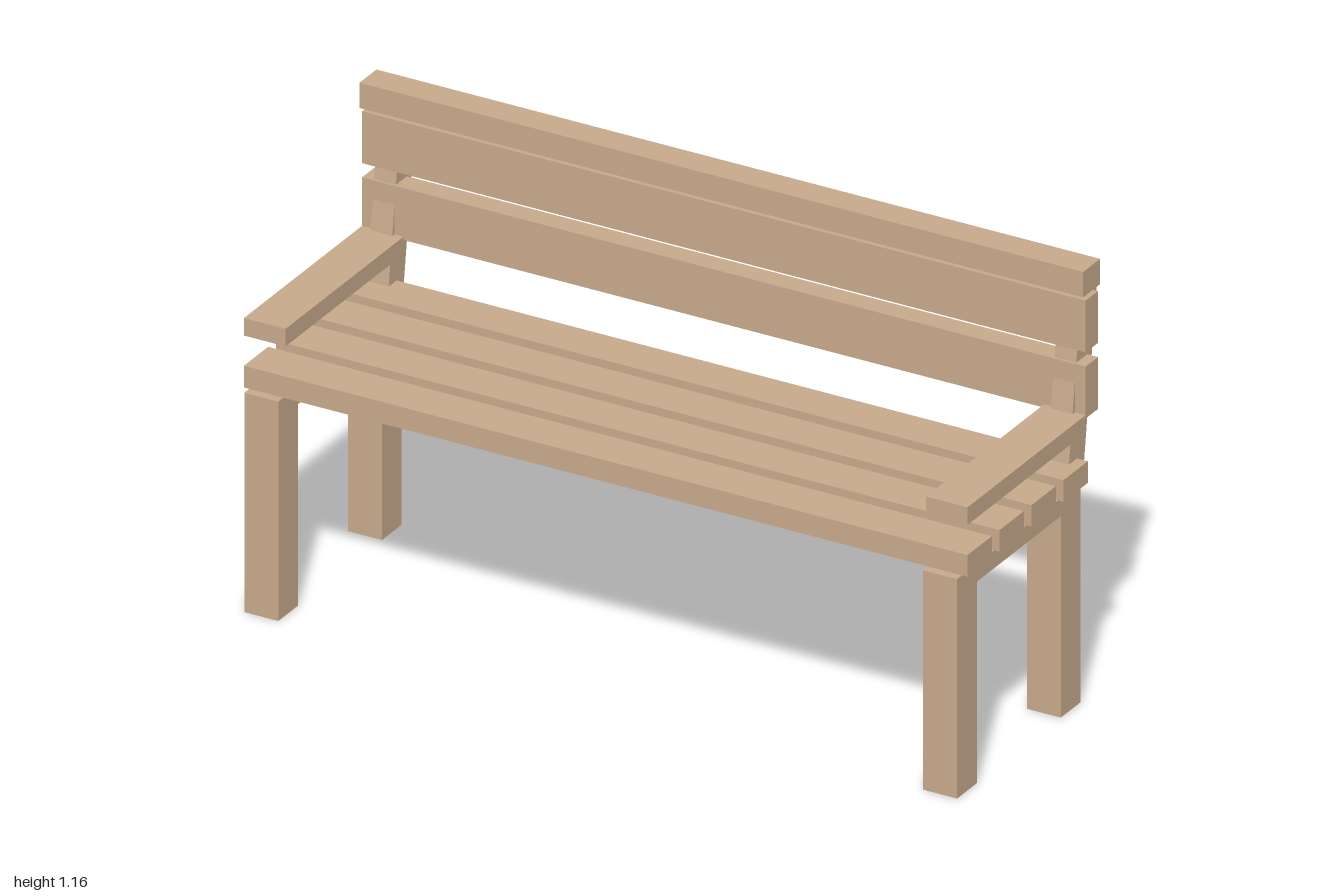
import * as THREE from 'three';

const wood = new THREE.MeshStandardMaterial({ color: 0xc8aa8c });
wood.name = 'wood';

// Box given by its extents on each axis
function board(name, [x0, x1], [y0, y1], [z0, z1]) {
  const mesh = new THREE.Mesh(new THREE.BoxGeometry(x1 - x0, y1 - y0, z1 - z0), wood);
  mesh.position.set((x0 + x1) / 2, (y0 + y1) / 2, (z0 + z1) / 2);
  mesh.name = name;
  return mesh;
}

// Leg frame: two legs joined by a rail, cut as one U-shaped profile
function legFrame(name, x) {
  const profile = [
    [0.35, 0], [0.35, 0.588], [-0.238, 0.588], [-0.238, 0],
    [-0.145, 0], [-0.145, 0.54], [0.256, 0.54], [0.256, 0],
  ].map(([z, y]) => new THREE.Vector2(-z, y));
  const width = 0.094;
  const geometry = new THREE.ExtrudeGeometry(new THREE.Shape(profile), { depth: width, bevelEnabled: false });
  geometry.translate(0, 0, -width / 2).rotateY(Math.PI / 2);
  const mesh = new THREE.Mesh(geometry, wood);
  mesh.position.x = x;
  mesh.name = name;
  return mesh;
}

export function createModel() {
  const bench = new THREE.Group();
  bench.name = 'bench';
  const full = [-1, 1];

  // Seat slats, front to back
  for (let i = 0; i < 4; i++) {
    const z = 0.268 - i * 0.1527;
    bench.add(board('seatSlat' + (i + 1), full, [0.588, 0.646], [z - 0.058, z + 0.058]));
  }

  // Backrest slats and top rail
  bench.add(board('lowerBackSlat', full, [0.765, 0.904], [-0.297, -0.238]));
  bench.add(board('upperBackSlat', full, [0.942, 1.081], [-0.297, -0.238]));
  bench.add(board('topRail', full, [1.095, 1.163], [-0.307, -0.226]));

  // Each end: leg frame, leaning back post and armrest
  for (const [side, s] of [['left', 1], ['right', -1]]) {
    bench.add(legFrame(side + 'LegFrame', s * 0.938));

    const post = new THREE.Mesh(new THREE.BoxGeometry(0.06, 0.531, 0.0745), wood);
    post.position.set(s * 0.94, 0.853, -0.2755);
    post.rotation.x = -0.134;
    post.name = side + 'BackPost';
    bench.add(post);

    const arm = board(side + 'Armrest', [-0.0575, 0.0575], [0.727, 0.774], [-0.238, 0.326]);
    arm.position.x = s * 0.9425;
    bench.add(arm);
  }
  return bench;
}
